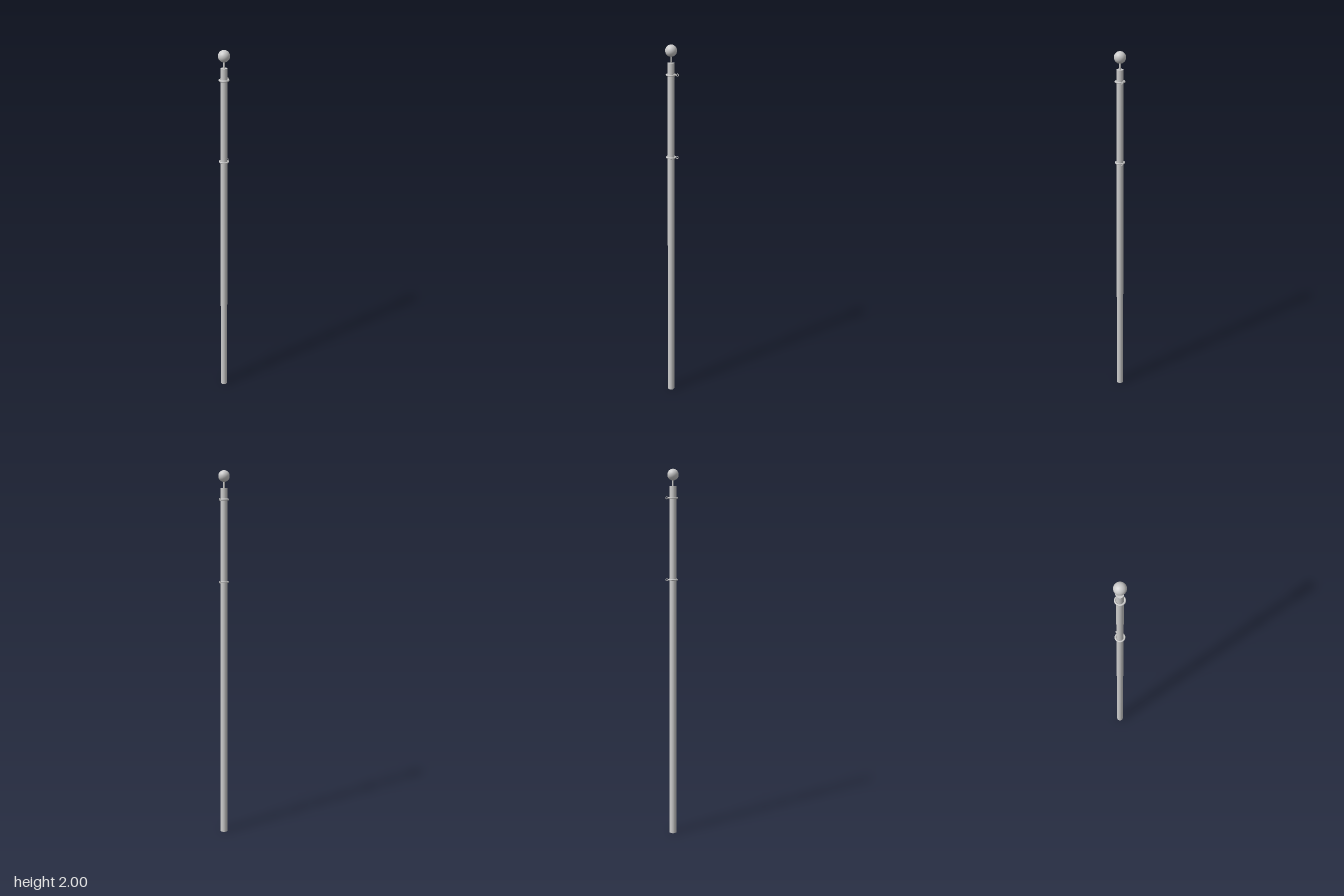
import * as THREE from 'three';

const material = new THREE.MeshStandardMaterial({ color: 0xcccccc });

function part(name, geometry, x = 0, y = 0, z = 0) {
  const mesh = new THREE.Mesh(geometry, material);
  mesh.name = name;
  mesh.position.set(x, y, z);
  return mesh;
}

// Ring clamped round the pole, with an upright eyelet for the halyard
function halyardRing(y) {
  const group = new THREE.Group();
  group.name = 'halyardRing';
  group.position.y = y;
  const band = part('ringBand', new THREE.TorusGeometry(0.0225, 0.0045, 12, 40));
  band.rotation.x = Math.PI / 2;
  const eyelet = part('ringEyelet', new THREE.TorusGeometry(0.0055, 0.002, 8, 20), 0.033);
  group.add(band, eyelet);
  group.rotation.y = Math.PI / 4; // eyelet points to +x, -z
  return group;
}

export function createModel() {
  const model = new THREE.Group();
  model.name = 'flagpole';

  // Slightly tapered pole
  model.add(part('pole', new THREE.CylinderGeometry(0.0175, 0.019, 1.91, 32), 0, 0.955));

  // Finial: thin spindle and ball
  model.add(part('finialSpindle', new THREE.CylinderGeometry(0.004, 0.004, 0.05, 16), 0, 1.93));
  model.add(part('finialBall', new THREE.SphereGeometry(0.03, 32, 20), 0, 1.97));

  for (const y of [1.42, 1.85]) model.add(halyardRing(y));

  return model;
}
